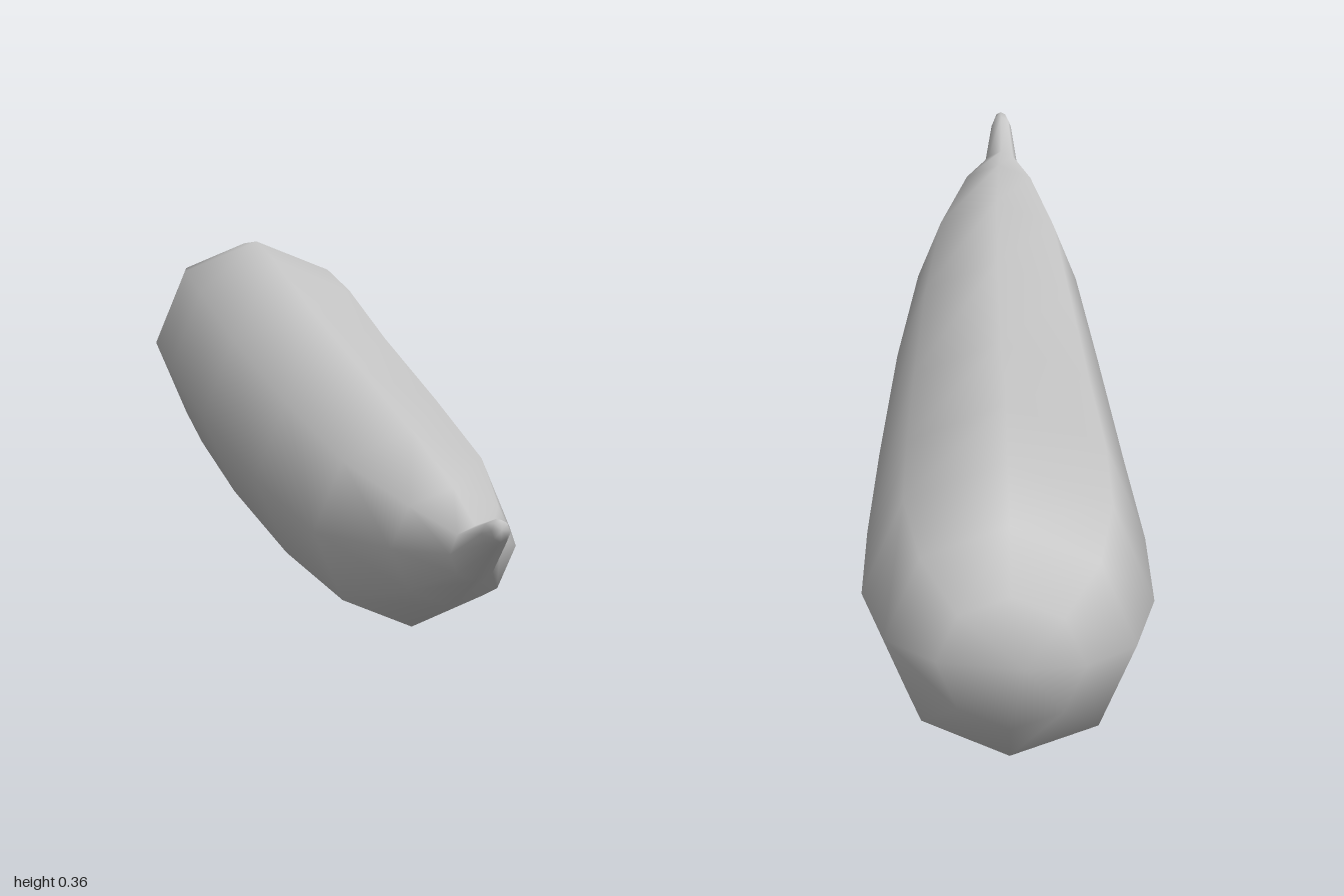
import * as THREE from 'three';

// Cross-sections from back to tip: z, left edge, right edge, bottom, top
const SECTIONS = [
  [-0.99, -0.075, 0.085, 0.13, 0.285],
  [-0.935, -0.132, 0.14, 0.07, 0.343],
  [-0.8, -0.162, 0.165, 0.035, 0.361],
  [-0.6, -0.168, 0.16, 0.02, 0.353],
  [-0.29, -0.166, 0.147, 0.003, 0.319],
  [0.12, -0.16, 0.123, 0.003, 0.29],
  [0.475, -0.15, 0.09, 0.026, 0.27],
  [0.735, -0.113, 0.03, 0.112, 0.25],
  [0.87, -0.078, -0.022, 0.172, 0.234],
  [0.975, -0.07, -0.038, 0.232, 0.263],
  [0.995, -0.064, -0.044, 0.242, 0.266],
];
const SIDES = 8;
const TILT = 0.09; // each ring leans slightly across the width

// Closed eight-sided loft with a pole at each end
function loft(sections, back, tip) {
  const pos = [];
  const index = [];
  for (const [z, x0, x1, y0, y1] of sections) {
    const lean = z < 0.8 ? TILT : 0;
    for (let i = 0; i < SIDES; i++) {
      const a = (i / SIDES) * Math.PI * 2;
      const dx = Math.cos(a) * (x1 - x0) / 2;
      pos.push((x0 + x1) / 2 + dx, (y0 + y1) / 2 + Math.sin(a) * (y1 - y0) / 2, z + dx * lean);
    }
  }
  const n = sections.length;
  const backPole = n * SIDES;
  const tipPole = backPole + 1;
  pos.push(...back, ...tip);
  for (let i = 0; i < SIDES; i++) {
    const j = (i + 1) % SIDES;
    for (let r = 0; r < n - 1; r++) {
      const a = r * SIDES + i, b = r * SIDES + j;
      index.push(a, b, b + SIDES, a, b + SIDES, a + SIDES);
    }
    const last = (n - 1) * SIDES;
    index.push(backPole, j, i, tipPole, last + i, last + j);
  }
  const geo = new THREE.BufferGeometry();
  geo.setAttribute('position', new THREE.Float32BufferAttribute(pos, 3));
  geo.setIndex(index);
  geo.computeVertexNormals();
  return geo;
}

export function createModel() {
  const group = new THREE.Group();
  group.name = 'taperedPod';

  // Rounded body narrowing into the upturned stem
  const body = new THREE.Mesh(
    loft(SECTIONS, [-0.01, 0.205, -1], [-0.054, 0.256, 1]),
    new THREE.MeshStandardMaterial({ color: 0xcccccc })
  );
  body.name = 'bodyAndStem';
  group.add(body);
  return group;
}
